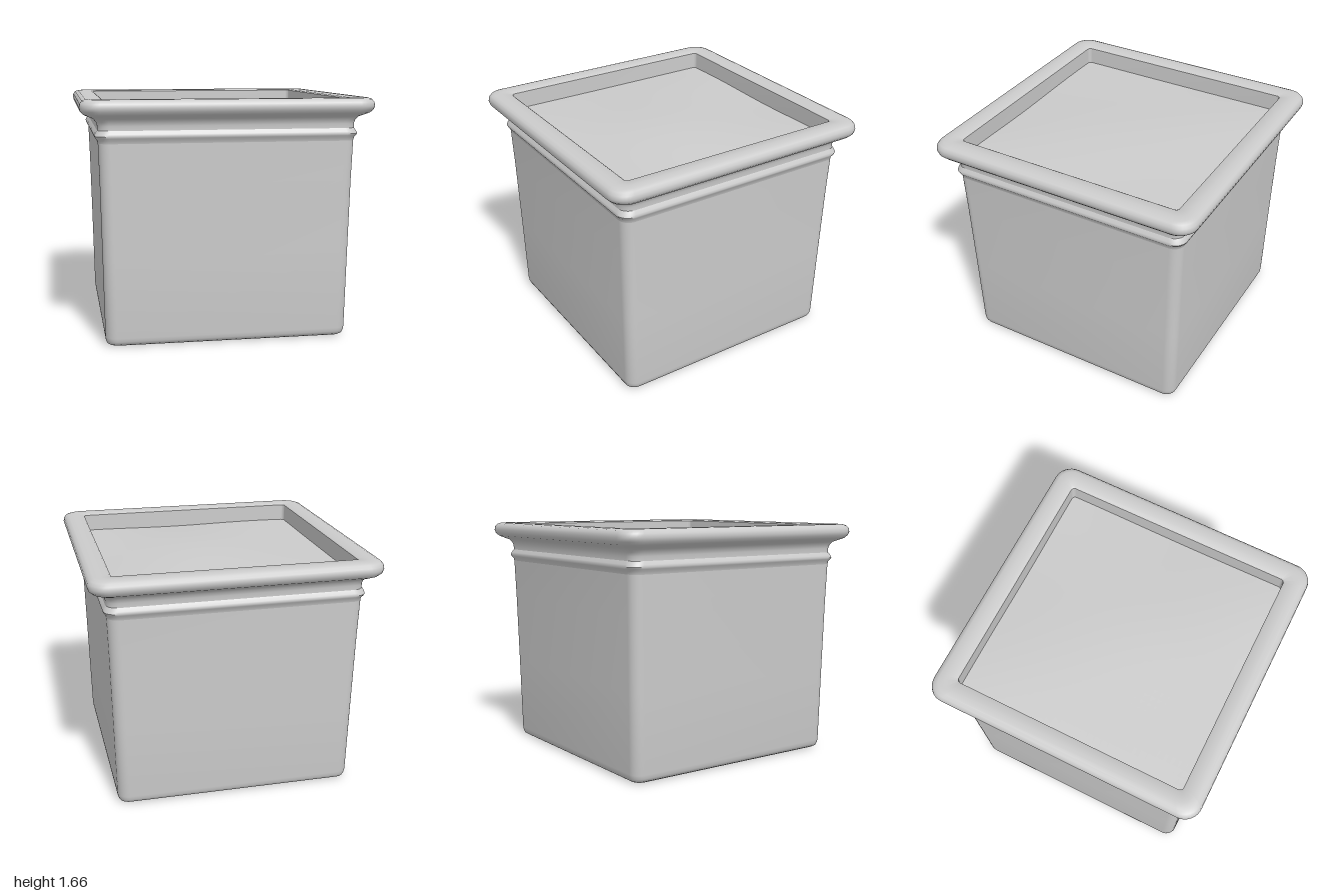
import * as THREE from 'three';
import { toCreasedNormals } from 'three/addons/utils/BufferGeometryUtils.js';

const ARC = 8; // segments per rounded corner

// Rounded-square ring: half = half width, r = corner radius
function ring(half, y, r) {
  const points = [];
  for (let corner = 0; corner < 4; corner++) {
    const mid = Math.PI / 4 + corner * Math.PI / 2;
    const cx = Math.sign(Math.cos(mid)) * (half - r);
    const cz = Math.sign(Math.sin(mid)) * (half - r);
    for (let i = 0; i <= ARC; i++) {
      const a = (corner + i / ARC) * Math.PI / 2;
      points.push(cx + r * Math.cos(a), y, cz + r * Math.sin(a));
    }
  }
  return points;
}

// Skin a stack of [half, y, radius] sections
function loft(sections) {
  const n = 4 * (ARC + 1);
  const index = [];
  for (let j = 0; j < sections.length - 1; j++) {
    for (let i = 0; i < n; i++) {
      const a = j * n + i, b = j * n + (i + 1) % n;
      index.push(a, a + n, b, b, a + n, b + n);
    }
  }
  const geometry = new THREE.BufferGeometry();
  geometry.setAttribute('position', new THREE.Float32BufferAttribute(sections.flatMap(s => ring(...s)), 3));
  geometry.setIndex(index);
  return toCreasedNormals(geometry, 0.8);
}

export function createModel() {
  const group = new THREE.Group();
  group.name = 'squarePlanter';
  const material = new THREE.MeshStandardMaterial({ color: 0xcccccc });
  const add = (name, geometry) => {
    const mesh = new THREE.Mesh(geometry, material);
    mesh.name = name;
    group.add(mesh);
    return mesh;
  };

  // Tapered body with a softened bottom edge
  add('body', loft([
    [0.002, 0, 0.001], [0.78, 0, 0.05], [0.805, 0.004, 0.06], [0.823, 0.015, 0.07],
    [0.832, 0.035, 0.075], [0.835, 0.06, 0.075], [0.845, 0.6, 0.075],
    [0.855, 1.1, 0.075], [0.863, 1.37, 0.075],
  ]));

  // Small bead under the neck
  add('bead', loft([
    [0.863, 1.37, 0.075], [0.868, 1.39, 0.08], [0.88, 1.405, 0.085],
    [0.885, 1.418, 0.085], [0.88, 1.432, 0.085], [0.866, 1.455, 0.08],
  ]));

  // Flared neck, rolled rim and inner wall
  add('rim', loft([
    [0.866, 1.455, 0.08], [0.866, 1.485, 0.08], [0.873, 1.51, 0.08], [0.89, 1.53, 0.09],
    [0.925, 1.546, 0.1], [0.955, 1.56, 0.11], [0.975, 1.58, 0.12], [0.982, 1.605, 0.12],
    [0.978, 1.63, 0.12], [0.963, 1.649, 0.11], [0.94, 1.658, 0.1], [0.9, 1.66, 0.08],
    [0.835, 1.656, 0.03], [0.823, 1.648, 0.025], [0.823, 1.48, 0.025],
  ]));

  // Gently uneven soil filling the opening
  const soil = new THREE.PlaneGeometry(1.646, 1.646, 32, 32).rotateX(-Math.PI / 2);
  const p = soil.attributes.position;
  for (let i = 0; i < p.count; i++) {
    const u = p.getX(i) / 0.823, v = p.getZ(i) / 0.823;
    const dome = 0.035 * (1 - u * u) * (1 - v * v);
    const ripple = 0.005 * Math.sin(4 * u + 1) * Math.cos(3 * v - 0.5);
    p.setY(i, 1.525 + dome + ripple);
  }
  soil.computeVertexNormals();
  add('soil', soil);

  // The pot sits very slightly turned
  group.rotation.y = 0.01;
  return group;
}
